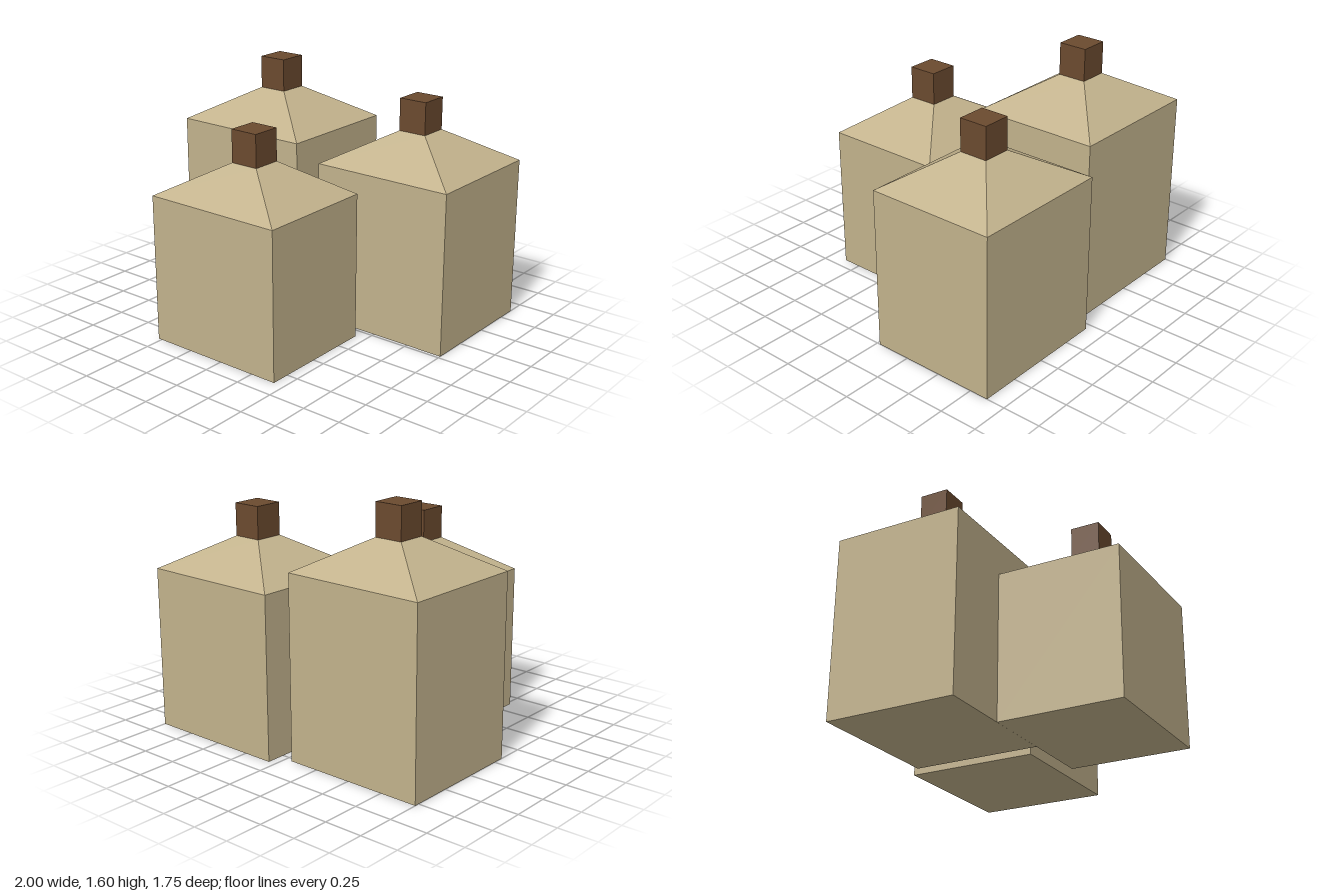
import * as THREE from 'three';

const sackcloth = new THREE.MeshStandardMaterial({ name: 'sackcloth', color: 0xc2b28c, flatShading: true });
const brownTie = new THREE.MeshStandardMaterial({ name: 'brown tie', color: 0x6b4a2f, flatShading: true });

const WIDTH = 0.95, KNOT = 0.19, RISE = 0.21;

// Box standing on y = 0 whose top face is resized to topW x topD
function taperedBox(w, h, d, topW = w, topD = d) {
  const geo = new THREE.BoxGeometry(w, h, d).translate(0, h / 2, 0);
  const p = geo.attributes.position;
  for (let i = 0; i < p.count; i++) {
    if (p.getY(i) > h / 2) {
      p.setX(i, Math.sign(p.getX(i)) * topW / 2);
      p.setZ(i, Math.sign(p.getZ(i)) * topD / 2);
    }
  }
  geo.computeVertexNormals();
  return geo;
}

function addPart(parent, name, geo, material, y) {
  const mesh = new THREE.Mesh(geo, material);
  mesh.name = name;
  mesh.position.y = y;
  parent.add(mesh);
}

// One sack: square body, shoulders gathered to a neck, and a tied knot
function makeSack(name, x, z, height, depth) {
  const sack = new THREE.Group();
  sack.name = name;
  sack.position.set(x, 0, z);
  addPart(sack, 'body', taperedBox(WIDTH, height, depth), sackcloth, 0);
  addPart(sack, 'shoulders', taperedBox(WIDTH, RISE, depth, KNOT, KNOT), sackcloth, height);
  addPart(sack, 'knot', taperedBox(KNOT, RISE, KNOT), brownTie, height + RISE);
  return sack;
}

export function createModel() {
  const model = new THREE.Group();
  model.name = 'sacks';
  model.add(
    makeSack('rightSack', -0.525, -0.353, 1.183, 0.855),
    makeSack('leftSack', 0.525, -0.448, 1.05, 0.855),
    makeSack('frontSack', -0.05, 0.475, 0.955, 0.8),
  );
  return model;
}
